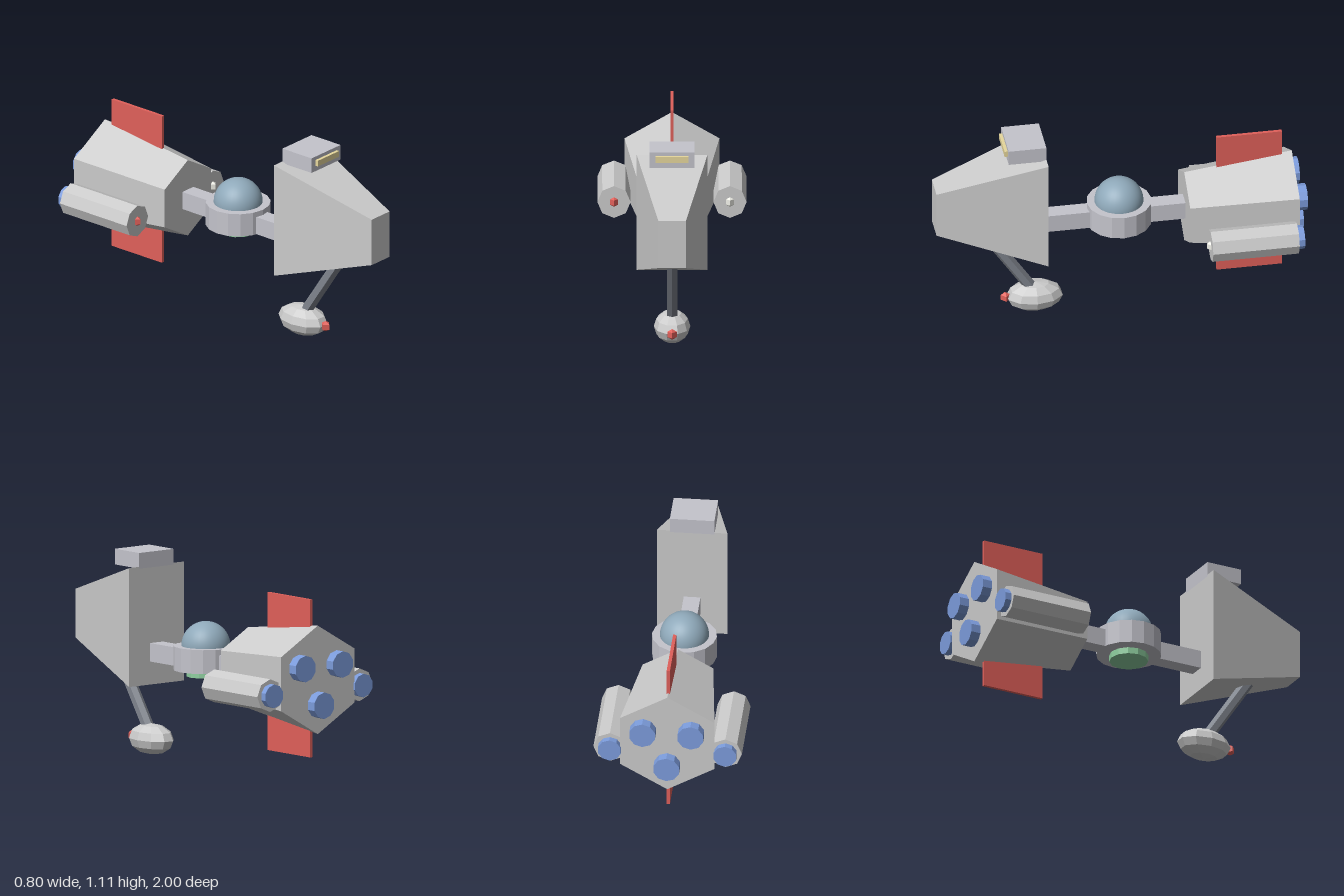
import * as THREE from 'three';

const mat = (color, flatShading = true) => new THREE.MeshStandardMaterial({ color, flatShading });
const hull = mat(0xcccccc), pale = mat(0xc4c4cc), steel = mat(0x80858e), red = mat(0xe0605a),
  white = mat(0xeeeee6), blue = mat(0x7c9cdc), green = mat(0x8fd0a0), yellow = mat(0xe6d79c),
  glass = mat(0x8fa9ba, false);

export function createModel() {
  const model = new THREE.Group();

  const add = (name, geometry, material, x, y, z) => {
    const mesh = new THREE.Mesh(geometry, material);
    mesh.name = name;
    mesh.position.set(x, y, z);
    model.add(mesh);
    return mesh;
  };
  // Box given by its half width and its y and z ranges
  const box = (name, material, hx, y0, y1, z0, z1) =>
    add(name, new THREE.BoxGeometry(hx * 2, y1 - y0, z1 - z0), material, 0, (y0 + y1) / 2, (z0 + z1) / 2);
  // Prism lying along z, with a corner pointing up
  const prism = (name, material, rFront, rBack, sides, x, y, z0, z1) =>
    add(name, new THREE.CylinderGeometry(rFront, rBack, z1 - z0, sides).rotateX(Math.PI / 2),
      material, x, y, (z0 + z1) / 2);
  const lamp = (name, material, x, y, z) =>
    add(name, new THREE.SphereGeometry(0.03, 4, 3), material, x, y, z);

  // Tapered forward hull: a box whose front end is narrowed
  const bow = new THREE.BoxGeometry(0.38, 0.645, 0.59);
  const p = bow.attributes.position;
  for (let i = 0; i < p.count; i++) {
    if (p.getZ(i) > 0) p.setXY(i, Math.sign(p.getX(i)) * 0.074, Math.sign(p.getY(i)) * 0.1325);
  }
  add('forwardHull', bow, hull, 0, 0.7125, 0.705);

  // Bridge with its window
  box('bridge', pale, 0.12, 1.025, 1.11, 0.41, 0.615);
  box('bridgeWindow', yellow, 0.088, 1.057, 1.09, 0.6, 0.632);

  // Connecting spine, hub, dome and underside light
  box('spine', pale, 0.045, 0.515, 0.615, -0.4, 0.43);
  add('hub', new THREE.CylinderGeometry(0.175, 0.175, 0.13, 16), pale, 0, 0.58, -0.005);
  add('dome', new THREE.SphereGeometry(0.132, 32, 16, 0, Math.PI * 2, 0, Math.PI / 2), glass, 0, 0.645, -0.005);
  add('hubLight', new THREE.CylinderGeometry(0.105, 0.105, 0.05, 12), green, 0, 0.505, -0.005);

  // Lower pod on its slanted strut
  const top = new THREE.Vector3(0, 0.52, 0.725), foot = new THREE.Vector3(0, 0.11, 0.453);
  const along = top.clone().sub(foot);
  const strut = add('podStrut', new THREE.CylinderGeometry(0.033, 0.033, along.length(), 6), steel,
    0, (top.y + foot.y) / 2, (top.z + foot.z) / 2);
  strut.quaternion.setFromUnitVectors(new THREE.Vector3(0, 1, 0), along.normalize());
  add('lowerPod', new THREE.SphereGeometry(1, 10, 6).scale(0.098, 0.084, 0.155), hull, 0, 0.088, 0.453);
  lamp('podLamp', red, 0, 0.09, 0.612);

  // Hexagonal engine section with its two fins
  prism('engineSection', hull, 0.22, 0.294, 6, 0, 0.566, -0.945, -0.36);
  box('upperFin', red, 0.009, 0.7, 0.995, -0.89, -0.535);
  box('lowerFin', red, 0.009, 0.14, 0.4, -0.89, -0.535);

  // Three main thrusters
  for (const [x, y] of [[-0.13, 0.643], [0.13, 0.643], [0, 0.432]]) {
    prism('mainThruster', blue, 0.072, 0.072, 10, x, y, -1, -0.93);
  }

  // Side nacelles with thrusters and running lamps
  for (const side of [-1, 1]) {
    const label = side > 0 ? 'left' : 'right', x = side * 0.311;
    prism(label + 'Nacelle', hull, 0.089, 0.089, 8, x, 0.507, -0.92, -0.45);
    prism(label + 'Thruster', blue, 0.064, 0.064, 10, x, 0.507, -0.955, -0.91);
    lamp(label + 'Lamp', side > 0 ? white : red, x, 0.507, -0.455);
  }
  return model;
}
